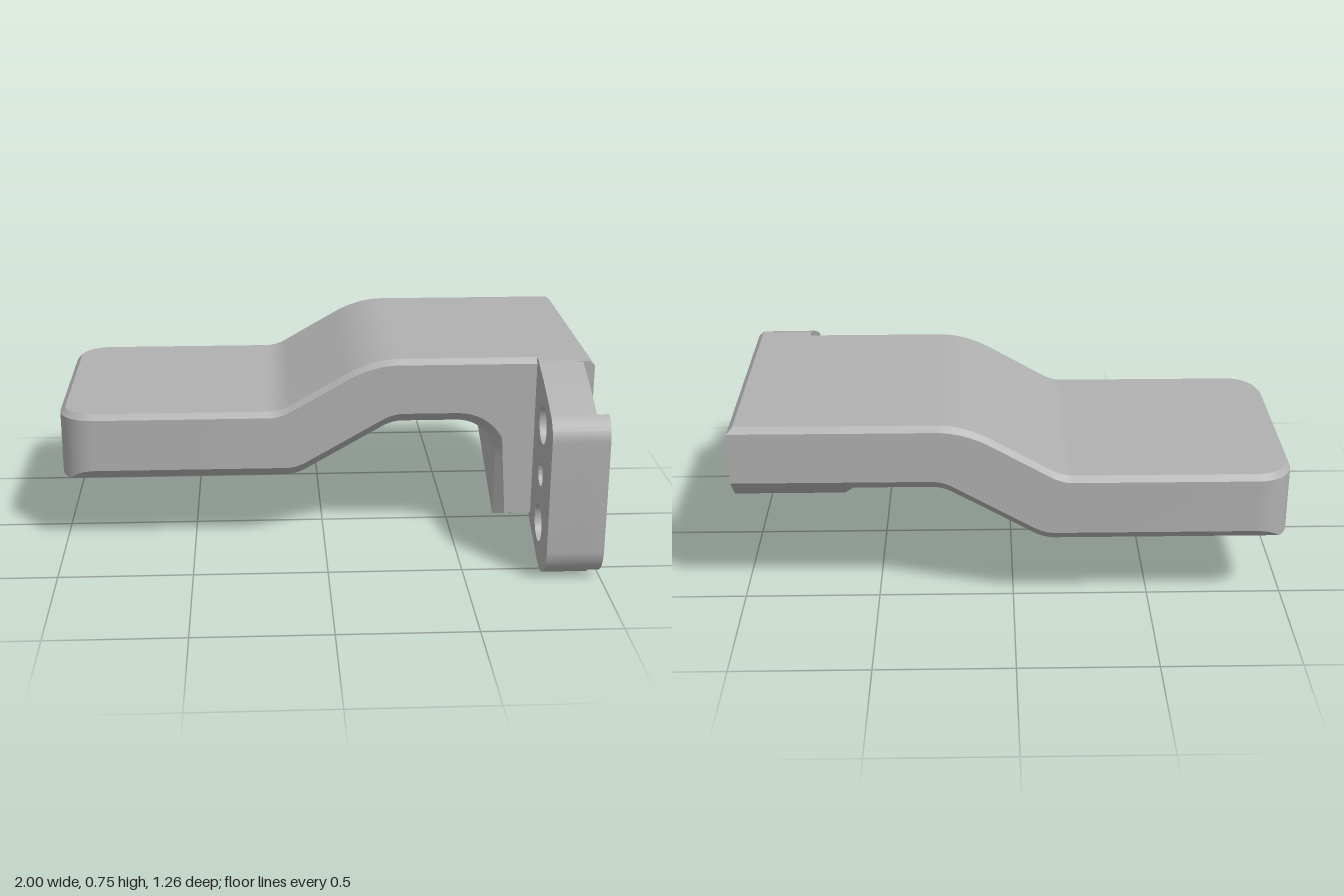
import * as THREE from 'three';
import { toCreasedNormals } from 'three/addons/utils/BufferGeometryUtils.js';

const Z_MID = -0.18, HALF = 0.45;      // plate centre and half depth
const BACK = Z_MID - HALF, FRONT = Z_MID + HALF;
const CORNER = 0.13, TOP_CHAMFER = 0.02, LOW_CHAMFER = 0.04;

// Rounded step in a slope: 0 before x0, rising at 1:1 after it
function ramp(x, x0, w) {
  if (x <= x0 - w) return 0;
  if (x >= x0 + w) return x - x0;
  return (x - x0 + w) ** 2 / (4 * w);
}
const SLOPE = 0.577;
const armTop = x => 0.55 + SLOPE * (ramp(x, -0.17, 0.04) - ramp(x, 0.177, 0.1));
const armBottom = x => 0.29 + SLOPE * (ramp(x, -0.11, 0.04) - ramp(x, 0.254, 0.04));
// Slanted lower edge of the side wall
const wallBottom = z => 0.215 - 0.445 * z;

// Skin a list of closed rings running towards +x, with optional end caps
function loft(rings, capStart, capEnd) {
  const pos = [], n = rings[0].length;
  const tri = (a, b, c) => pos.push(...a, ...b, ...c);
  for (let i = 0; i + 1 < rings.length; i++) {
    for (let j = 0; j < n; j++) {
      const k = (j + 1) % n;
      const a = rings[i][j], b = rings[i + 1][j], c = rings[i][k], d = rings[i + 1][k];
      tri(a, c, b);
      tri(b, c, d);
    }
  }
  const first = rings[0], last = rings[rings.length - 1];
  for (let j = 1; j + 1 < n; j++) {
    if (capStart) tri(first[0], first[j + 1], first[j]);
    if (capEnd) tri(last[0], last[j], last[j + 1]);
  }
  const g = new THREE.BufferGeometry();
  g.setAttribute('position', new THREE.Float32BufferAttribute(pos, 3));
  return toCreasedNormals(g, 0.5);
}

// Cross-section of the cranked arm; corner angle a runs 0..90 degrees at the free end
function armRing(x, xTop, half, halfTop) {
  const low = Math.min(half, HALF - LOW_CHAMFER);
  const yLow = armBottom(x) + half - low, yHigh = armTop(x) - TOP_CHAMFER;
  return [
    [x, yHigh, Z_MID - half], [xTop, armTop(xTop), Z_MID - halfTop],
    [xTop, armTop(xTop), Z_MID + halfTop], [x, yHigh, Z_MID + half],
    [x, yLow, Z_MID + half], [x, armBottom(x), Z_MID + low],
    [x, armBottom(x), Z_MID - low], [x, yLow, Z_MID - half],
  ];
}
function armGeometry() {
  const rings = [], inner = CORNER - TOP_CHAMFER, straight = HALF - CORNER;
  for (let i = 0; i <= 10; i++) {
    const a = i / 10 * Math.PI / 2, c = Math.cos(a), s = Math.sin(a);
    rings.push(armRing(-1 + CORNER - CORNER * c, -1 + CORNER - inner * c,
      straight + CORNER * s, straight + inner * s));
  }
  for (let i = 0; i <= 50; i++) {
    const x = -0.24 + i * 0.0108;
    rings.push(armRing(x, x, HALF, HALF - TOP_CHAMFER));
  }
  rings.push(armRing(0.5, 0.5, HALF, HALF - TOP_CHAMFER));
  return loft(rings, true, false);
}

// Cross-section of the side wall: underside at height y, cut by the slanted edge
function wallRing(x, y, frontX, frontY, top = 0.75) {
  const zInner = FRONT - LOW_CHAMFER;
  const zCut = THREE.MathUtils.clamp((0.215 - y) / 0.445, -0.55, zInner);
  return [
    [x, 0.73, BACK], [x, top, BACK + TOP_CHAMFER],
    [x, top, FRONT - TOP_CHAMFER], [x, 0.73, FRONT],
    [frontX, Math.max(frontY, 0.13), FRONT],
    [x, Math.max(y, wallBottom(zInner)), zInner],
    [x, Math.max(y, wallBottom(zCut)), zCut],
    [x, Math.max(y, 0.46), -0.55], [x, Math.max(y, 0.5), -0.59], [x, 0.54, BACK],
  ];
}
function wallGeometry() {
  const rings = [];
  for (let i = 0; i <= 12; i++) {
    const a = i / 12 * Math.PI / 2, s = Math.sin(a), c = Math.cos(a);
    rings.push(wallRing(0.5 + 0.15 * s, 0.35 + 0.15 * c, 0.5 + 0.19 * s, 0.35 + 0.19 * c));
  }
  rings.push(wallRing(0.65, 0, 0.69, 0));
  rings.push(wallRing(0.98, 0, 0.98, 0));
  rings.push(wallRing(1, 0, 1, 0, 0.73));
  return loft(rings, false, true);
}

// Extrude a (z, y) shape between two x positions
function slab(shape, x0, x1) {
  const g = new THREE.ExtrudeGeometry(shape, { depth: x1 - x0, bevelEnabled: false, curveSegments: 20 });
  g.rotateY(-Math.PI / 2);
  g.translate(x1, 0, 0);
  return toCreasedNormals(g, 0.5);
}
function tabShape(midRadius) {
  const s = new THREE.Shape();
  s.moveTo(0.2, wallBottom(0.2));
  s.lineTo(0.44, wallBottom(0.44));
  s.quadraticCurveTo(0.475, 0.001, 0.51, 0.001);
  s.bezierCurveTo(0.575, 0.003, 0.63, 0.065, 0.63, 0.13);
  s.lineTo(0.63, 0.545);
  s.quadraticCurveTo(0.63, 0.6, 0.575, 0.633);
  s.lineTo(0.5, 0.668);
  s.lineTo(0.4, 0.711);
  s.lineTo(0.31, 0.743);
  s.quadraticCurveTo(0.29, 0.75, 0.27, 0.75);
  s.lineTo(0.2, 0.75);
  for (const [y, r] of [[0.547, 0.07], [0.354, midRadius], [0.16, 0.07]]) {
    s.holes.push(new THREE.Path().absarc(0.438, y, r, 0, Math.PI * 2, true));
  }
  return s;
}
function lipShape() {
  const s = new THREE.Shape();
  s.moveTo(0.572, 0.025);
  s.quadraticCurveTo(0.63, 0.065, 0.63, 0.13);
  s.lineTo(0.63, 0.545);
  s.quadraticCurveTo(0.63, 0.6, 0.572, 0.634);
  return s;
}
// Front end of the wall, standing proud of the tab face
function cheekGeometry() {
  const s = new THREE.Shape();
  s.moveTo(0.94, 0);
  s.lineTo(1, 0);
  s.lineTo(1, 0.73);
  s.lineTo(0.98, 0.748);
  s.lineTo(0.94, 0.748);
  const g = new THREE.ExtrudeGeometry(s, { depth: 0.1, bevelEnabled: false });
  g.translate(0, 0, 0.2);
  const p = g.attributes.position;
  for (let i = 0; i < p.count; i++) if (p.getY(i) < 0.1) p.setY(i, wallBottom(p.getZ(i)));
  return toCreasedNormals(g, 0.5);
}

export function createModel() {
  const group = new THREE.Group();
  const grey = new THREE.MeshStandardMaterial({ color: 0xb0b0b0 });
  grey.name = 'plain grey';
  const add = (name, geometry) => {
    const mesh = new THREE.Mesh(geometry, grey);
    mesh.name = name;
    group.add(mesh);
  };
  add('crankedArm', armGeometry());
  add('sideWall', wallGeometry());
  // Mounting tab with a counterbored middle hole
  add('mountingTab', slab(tabShape(0.044), 0.79, 0.93));
  add('mountingTabFace', slab(tabShape(0.055), 0.93, 0.955));
  add('tabLip', slab(lipShape(), 0.95, 1));
  add('wallFrontEnd', cheekGeometry());
  return group;
}
